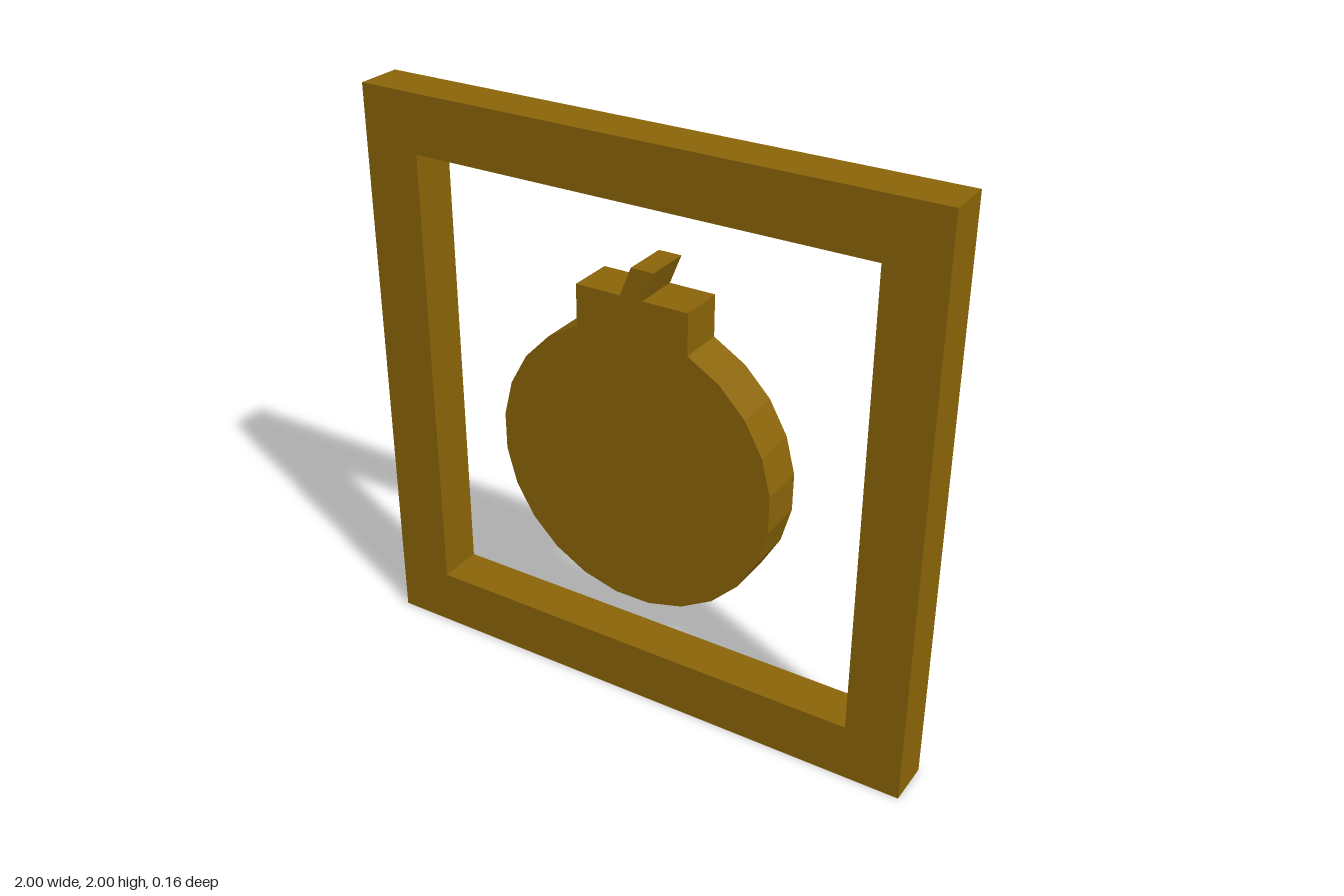
import * as THREE from 'three';

const DEPTH = 0.16;
const material = new THREE.MeshStandardMaterial({ color: 0x8b6508 });

// Extrudes a flat shape, centred on z = 0
function plate(name, shape) {
  const geometry = new THREE.ExtrudeGeometry(shape, { depth: DEPTH, bevelEnabled: false });
  geometry.translate(0, 0, -DEPTH / 2);
  const mesh = new THREE.Mesh(geometry, material);
  mesh.name = name;
  return mesh;
}

const rectangle = (x0, y0, x1, y1) => [
  new THREE.Vector2(x0, y0), new THREE.Vector2(x1, y0),
  new THREE.Vector2(x1, y1), new THREE.Vector2(x0, y1),
];

// Square frame with a square opening
function createFrame() {
  const shape = new THREE.Shape(rectangle(-1, 0, 1, 2));
  shape.holes.push(new THREE.Path(rectangle(-0.8, 0.2, 0.8, 1.8)));
  return plate('frame', shape);
}

// Faceted round body, square neck and slanted fuse in one silhouette
function createBomb() {
  const radius = 0.5, centreY = 0.9, neck = 0.2, segments = 21;
  const start = Math.PI - Math.acos(neck / radius);
  const sweep = 2 * Math.PI - 2 * Math.acos(neck / radius) - 2 * (Math.PI / 2 - Math.acos(neck / radius));
  const end = 2 * Math.PI + Math.acos(neck / radius);
  const points = [];
  for (let i = 0; i <= segments; i++) {
    const a = start + (end - start) * i / segments;
    points.push(new THREE.Vector2(radius * Math.cos(a), centreY + radius * Math.sin(a)));
  }
  const top = [[neck, 1.5], [0.04, 1.5], [0.08, 1.6], [0, 1.6], [-0.04, 1.5], [-neck, 1.5]];
  points.push(...top.map(([x, y]) => new THREE.Vector2(x, y)));
  return plate('bomb', new THREE.Shape(points));
}

export function createModel() {
  const model = new THREE.Group();
  model.name = 'framedBomb';
  model.add(createFrame(), createBomb());
  return model;
}
